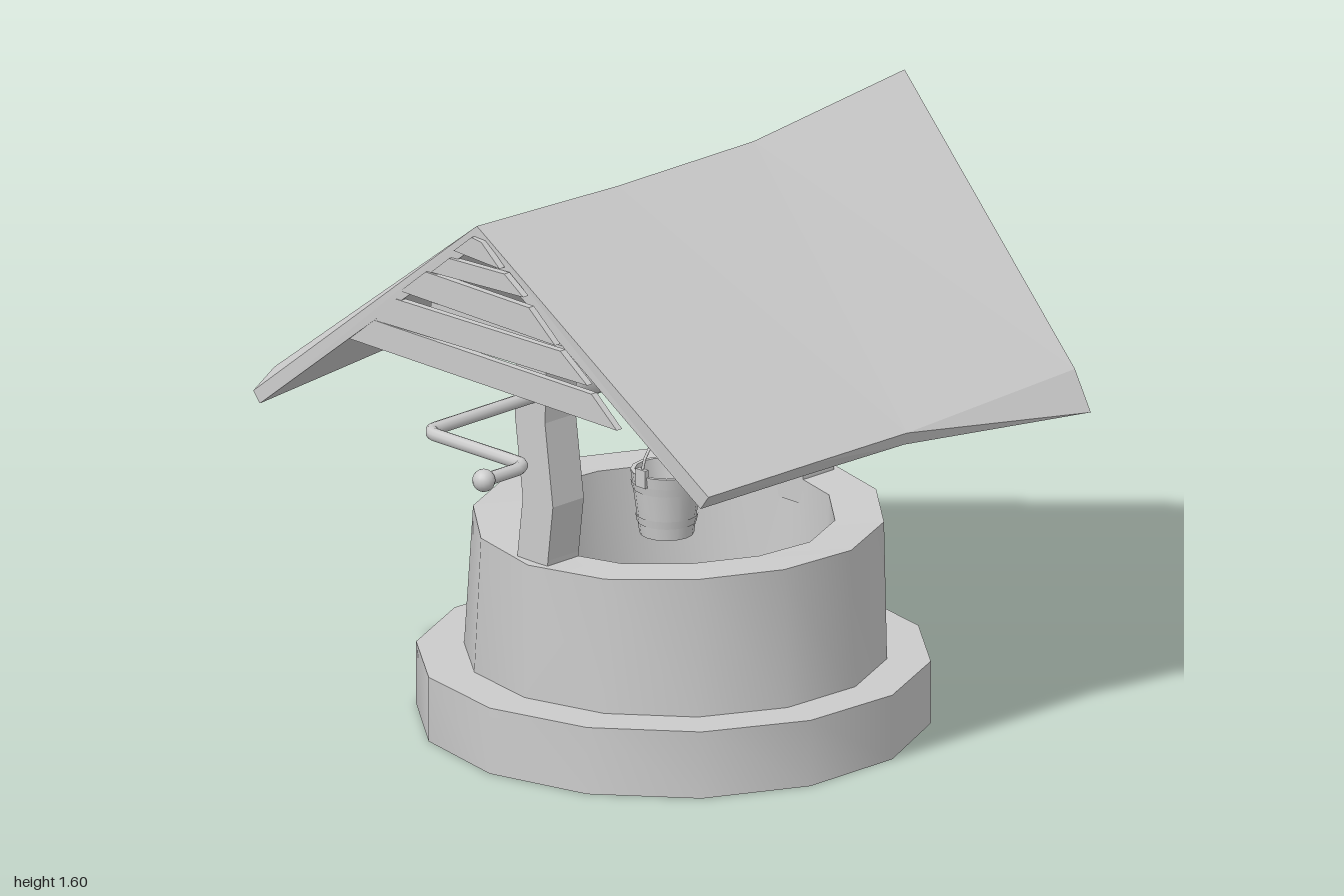
import * as THREE from 'three';
import { toCreasedNormals } from 'three/addons/utils/BufferGeometryUtils.js';

const smooth = new THREE.MeshStandardMaterial({ color: 0xcccccc });
const flat = new THREE.MeshStandardMaterial({ color: 0xcccccc, flatShading: true });

function add(parent, name, geometry, material = smooth, x = 0, y = 0, z = 0) {
  const mesh = new THREE.Mesh(geometry, material);
  mesh.name = name;
  mesh.position.set(x, y, z);
  parent.add(mesh);
  return mesh;
}

// Skin over closed cross-sections (counter-clockwise seen from the last one), capped at both ends.
function loft(sections) {
  const pos = [];
  const tri = (...pts) => pts.forEach((p) => pos.push(...p));
  const n = sections[0].length;
  for (let k = 0; k < sections.length - 1; k++) {
    const s = sections[k], t = sections[k + 1];
    for (let i = 0; i < n; i++) {
      const j = (i + 1) % n;
      tri(s[i], s[j], t[j]);
      tri(s[i], t[j], t[i]);
    }
  }
  const first = sections[0], last = sections[sections.length - 1];
  for (let i = 1; i < n - 1; i++) {
    tri(first[0], first[i + 1], first[i]);
    tri(last[0], last[i], last[i + 1]);
  }
  const geo = new THREE.BufferGeometry();
  geo.setAttribute('position', new THREE.Float32BufferAttribute(pos, 3));
  geo.computeVertexNormals();
  return geo;
}

function lathe(profile, sides, warp) {
  const geo = new THREE.LatheGeometry(profile.map(([r, y]) => new THREE.Vector2(r, y)), sides);
  if (warp) {
    const p = geo.attributes.position, v = new THREE.Vector3();
    for (let i = 0; i < p.count; i++) {
      warp(v.fromBufferAttribute(p, i));
      p.setXYZ(i, v.x, v.y, v.z);
    }
  }
  return toCreasedNormals(geo, 0.8);
}

function tube(points, radius, segments = 40) {
  const curve = new THREE.CatmullRomCurve3(points.map((p) => new THREE.Vector3(...p)), false, 'catmullrom', 0.2);
  return new THREE.TubeGeometry(curve, segments, radius, 10);
}

export function createModel() {
  const well = new THREE.Group();
  well.name = 'well';

  // Stone ring: wide footing and a slightly tapered wall, both open through the middle
  const footing = [[0.41, 0], [0.69, 0], [0.69, 0.175], [0.41, 0.175], [0.41, 0]];
  add(well, 'footing', lathe(footing, 14, (v) => {
    if (v.y > 0.1) v.y += 0.012 * v.x + 0.015 * v.z;
  }), smooth, -0.005, 0, -0.128);
  const wall = [[0.41, 0.15], [0.568, 0.15], [0.565, 0.565], [0.43, 0.565], [0.41, 0.15]];
  add(well, 'wall', lathe(wall, 14, (v) => {
    if (v.y > 0.4) {
      v.x = v.x * 0.955 + 0.012;
      v.y += 0.006 * Math.sin(3 * Math.atan2(v.z, v.x));
    }
  }), smooth, -0.005, 0, -0.135);

  // Crooked posts: [y, centre x], each carrying a cross beam
  const post = (name, zc, bends) => add(well, name, loft(bends.map(([y, x]) => [
    [x - 0.057, y, zc + 0.058], [x + 0.057, y, zc + 0.058],
    [x + 0.057, y, zc - 0.058], [x - 0.057, y, zc - 0.058],
  ])), flat);
  post('frontPost', 0.343, [[0.5, -0.01], [0.575, -0.004], [0.73, 0.015], [0.96, -0.015], [1.14, -0.009]]);
  post('backPost', -0.61, [[0.5, 0], [0.575, 0], [0.75, -0.015], [0.96, 0.015], [1.14, 0]]);
  for (const [name, z] of [['frontBeam', 0.34], ['backBeam', -0.61]])
    add(well, name, new THREE.BoxGeometry(0.78, 0.06, 0.12), flat, 0, 1.165, z);

  // Roof sections from back to front: ridge, left crease, left tip, left lower edge,
  // ridge underside, right lower edge, right crease
  add(well, 'roof', loft([
    [[-0.01, 1.6, -1], [-0.765, 0.98, -0.88], [-0.78, 0.94, -0.88], [-0.75, 0.91, -0.87],
      [-0.01, 1.54, -0.99], [0.85, 0.885, -0.845], [0.775, 0.985, -0.86]],
    [[-0.005, 1.54, -0.43], [-0.8, 0.95, -0.46], [-0.83, 0.9, -0.47], [-0.79, 0.88, -0.47],
      [-0.005, 1.485, -0.43], [0.765, 0.925, -0.23], [0.775, 0.96, -0.23]],
    [[-0.005, 1.54, 0.08], [-0.81, 0.96, 0.1], [-0.857, 0.91, 0.1], [-0.82, 0.895, 0.1],
      [-0.005, 1.485, 0.08], [0.755, 0.925, 0.14], [0.777, 0.963, 0.14]],
    [[-0.01, 1.555, 0.605], [-0.77, 0.97, 0.61], [-0.825, 0.895, 0.635], [-0.8, 0.865, 0.635],
      [-0.01, 1.5, 0.605], [0.75, 0.925, 0.52], [0.78, 0.965, 0.52]],
  ]), flat);

  // Gable slats with ends cut along the roof slope and slightly crooked edges
  const rows = [[1.12, 1.195], [1.207, 1.287], [1.302, 1.38], [1.396, 1.452], [1.466, 1.52]];
  const gable = (name, z, lift) => {
    const group = new THREE.Group();
    group.name = name;
    rows.forEach(([y0, y1], i) => {
      const skew = i % 2 ? 0.008 : -0.004;
      const half = (y) => (1.535 - y) / 0.78;
      const shape = new THREE.Shape([
        new THREE.Vector2(-half(y0) * 0.96, y0 - skew), new THREE.Vector2(half(y0), y0 + skew),
        new THREE.Vector2(half(y1), y1), new THREE.Vector2(-half(y1) * 0.96, y1 - skew),
      ]);
      add(group, 'slat', new THREE.ExtrudeGeometry(shape, { depth: 0.02, bevelEnabled: false }), flat, 0, lift, z);
    });
    well.add(group);
  };
  gable('frontGable', 0.598, 0);
  gable('backGable', -0.885, 0.02);

  // Axle between the posts with a coil of rope
  add(well, 'axle', new THREE.CylinderGeometry(0.045, 0.045, 0.9, 16), smooth, 0, 1.025, -0.135).rotation.x = Math.PI / 2;
  for (let i = 0; i < 6; i++)
    add(well, 'ropeCoil', new THREE.TorusGeometry(0.05, 0.008, 6, 20), smooth, 0, 1.025, -0.09 + i * 0.015);

  // Crank handle
  add(well, 'crank', tube([
    [-0.005, 1.025, 0.3], [-0.005, 1.025, 0.76], [0.007, 1.025, 0.79], [0.035, 1.025, 0.802],
    [0.34, 1.025, 0.802], [0.37, 1.025, 0.815], [0.382, 1.025, 0.845], [0.382, 1.025, 0.96],
  ], 0.018, 80));
  add(well, 'crankKnob', new THREE.SphereGeometry(0.031, 16, 12), smooth, 0.382, 1.025, 0.968);

  // Bucket hanging on the rope
  const bucket = new THREE.Group();
  bucket.name = 'bucket';
  bucket.position.set(0.05, 0, -0.048);
  const pail = [[0, 0.545], [0.073, 0.545], [0.097, 0.725], [0.085, 0.725], [0.064, 0.56], [0, 0.56]];
  add(bucket, 'pail', lathe(pail, 16));
  for (const [y, r] of [[0.59, 0.08], [0.685, 0.0925]])
    add(bucket, 'hoop', new THREE.CylinderGeometry(r + 0.004, r, 0.022, 16, 1, true), smooth, 0, y, 0);
  for (const s of [-1, 1])
    add(bucket, 'handleLug', new THREE.BoxGeometry(0.035, 0.05, 0.014), flat, 0, 0.72, s * 0.092);
  add(bucket, 'handle', tube([
    [0, 0.73, 0.094], [0, 0.77, 0.083], [0, 0.81, 0.053], [0, 0.83, 0],
    [0, 0.81, -0.053], [0, 0.77, -0.083], [0, 0.73, -0.094],
  ], 0.004));
  add(bucket, 'grip', new THREE.CylinderGeometry(0.008, 0.008, 0.08, 8), smooth, 0, 0.832, 0).rotation.x = Math.PI / 2;
  add(bucket, 'rope', new THREE.CylinderGeometry(0.004, 0.004, 0.21, 8), smooth, 0, 0.93, -0.008);
  well.add(bucket);

  return well;
}
